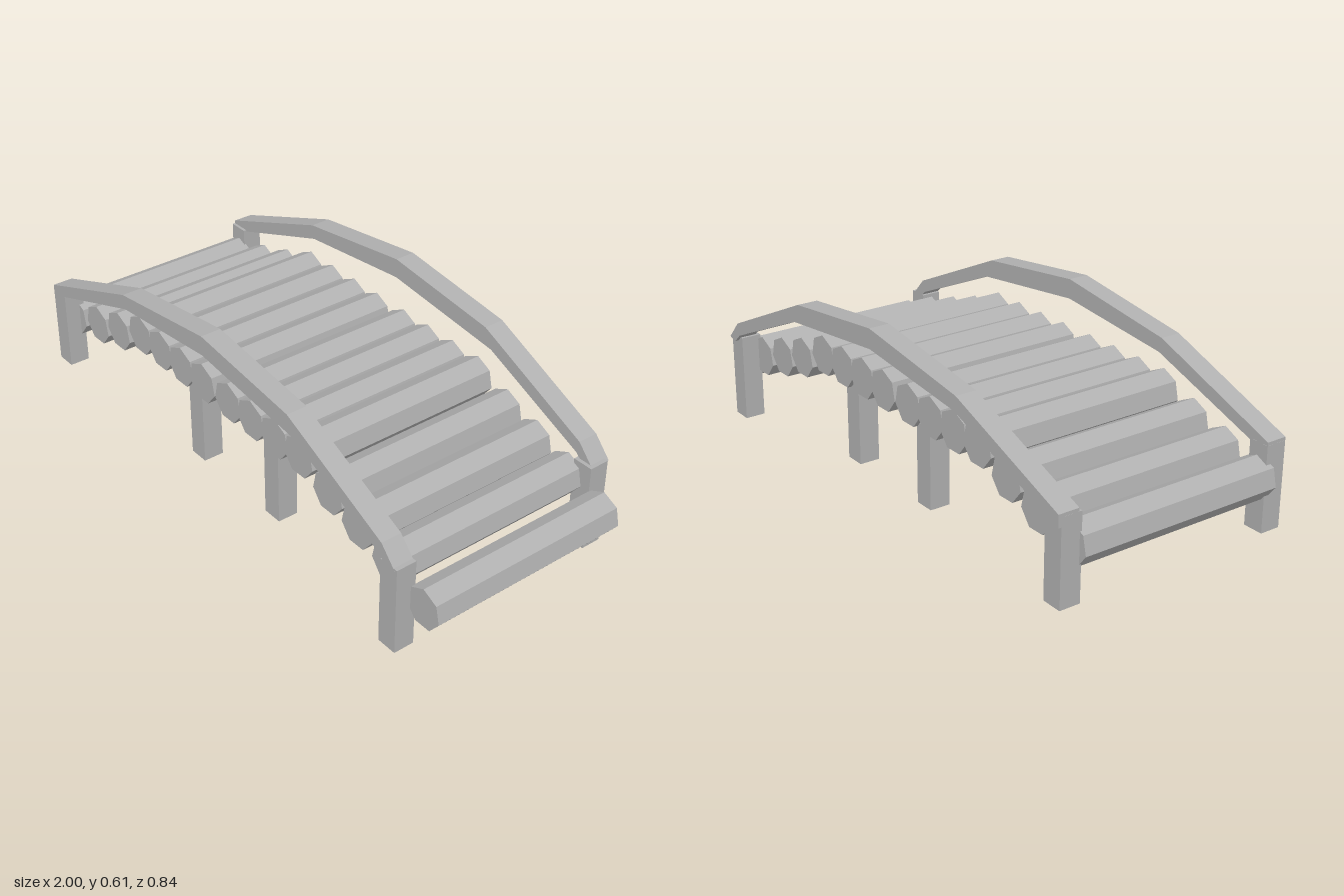
import * as THREE from 'three';

export function createModel() {
  const group = new THREE.Group();
  const wood = new THREE.MeshStandardMaterial({ color: 0xb0b0b0 });
  wood.name = 'greyWood';
  wood.flatShading = true;

  const add = (name, geometry, x, y, z) => {
    const mesh = new THREE.Mesh(geometry, wood);
    mesh.name = name;
    mesh.position.set(x, y, z);
    group.add(mesh);
  };

  // Seven-sided deck logs: [centre x, top y]
  const radius = 0.07;
  const logs = [
    [-0.93, 0.313], [-0.78, 0.346], [-0.64, 0.388],
    [-0.5, 0.44], [-0.38, 0.44], [-0.26, 0.44], [-0.14, 0.44],
    [0, 0.44], [0.12, 0.44], [0.24, 0.44], [0.36, 0.44],
    [0.5, 0.388], [0.635, 0.346], [0.775, 0.304], [0.93, 0.245],
  ];
  const logGeometry = new THREE.CylinderGeometry(radius, radius, 0.715, 7);
  logGeometry.rotateX(-Math.PI / 2);
  logs.forEach(([x, top], i) => add(`deckLog${i + 1}`, logGeometry, x, top - radius, 0.01));

  // Square posts: name, centre x, bottom, top, front z, back z
  const posts = [
    ['leftEndPost', -0.935, 0.07, 0.355, 0.386, -0.376],
    ['rightEndPost', 0.842, 0, 0.303, 0.386, -0.374],
    ['leftMiddlePost', -0.2, 0.045, 0.32, 0.319, -0.296],
    ['rightMiddlePost', 0.205, 0.045, 0.32, 0.319, -0.296],
  ];
  for (const [name, x, bottom, top, front, back] of posts) {
    const geometry = new THREE.BoxGeometry(0.071, top - bottom, 0.071);
    add(`${name}Front`, geometry, x, (top + bottom) / 2, front);
    add(`${name}Back`, geometry, x, (top + bottom) / 2, back);
  }

  // Arched handrails
  const outline = [
    [-0.97, 0.325], [-0.49, 0.494], [-0.05, 0.54], [0.41, 0.488],
    [0.8, 0.318], [0.835, 0.287],
    [0.87, 0.295], [0.81, 0.36], [0.38, 0.555], [-0.05, 0.607],
    [-0.5, 0.543], [-0.97, 0.366],
  ].map(([x, y]) => new THREE.Vector2(x, y));
  const railGeometry = new THREE.ExtrudeGeometry(new THREE.Shape(outline), {
    depth: 0.071, bevelEnabled: false,
  });
  add('frontHandrail', railGeometry, 0, 0, 0.351);
  add('backHandrail', railGeometry, 0, 0, -0.422);

  return group;
}
